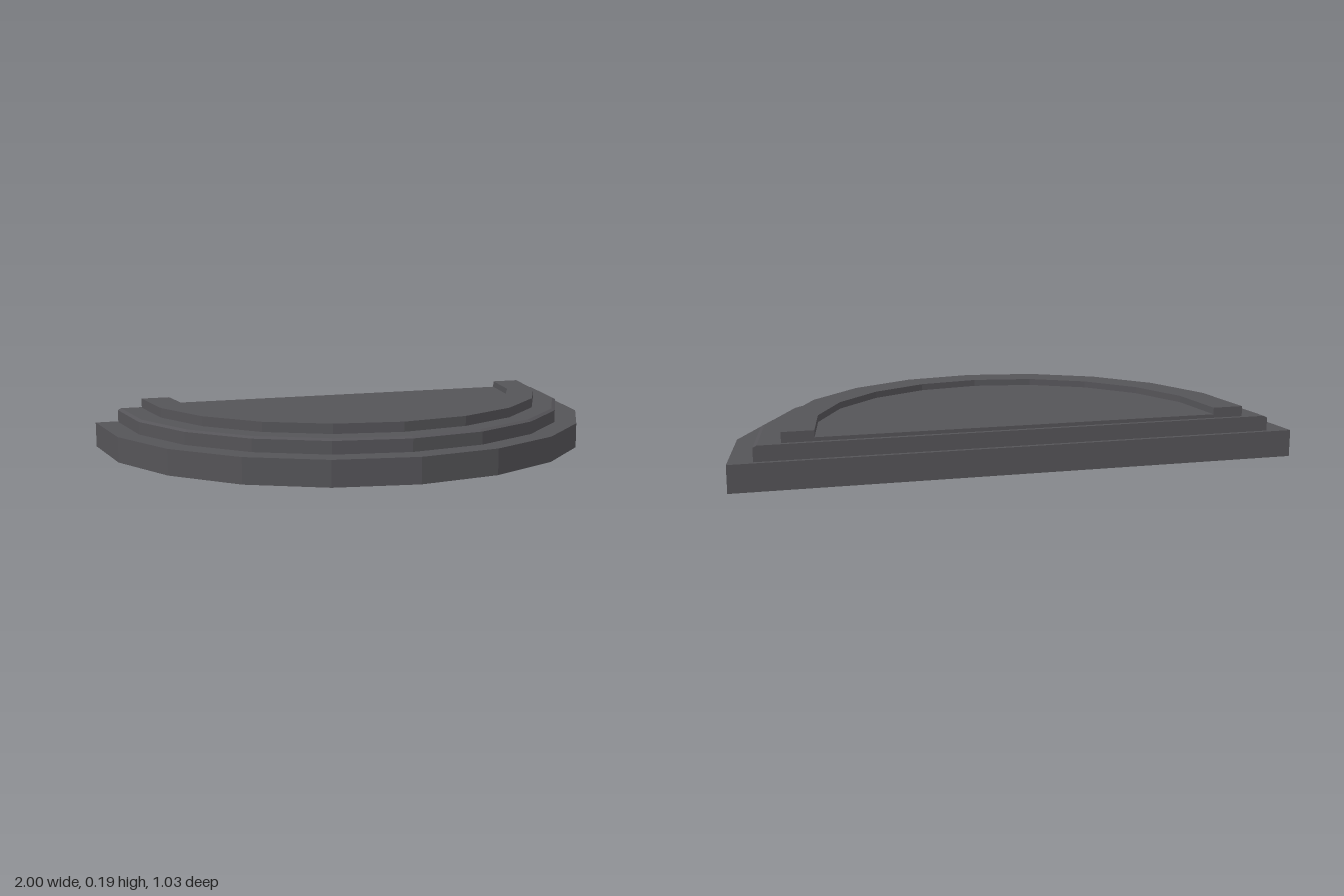
import * as THREE from 'three';

const CENTRE_Z = -0.485;
const SEGMENTS = 10;

// Half-circle outline as [x, z] points, its two end corners pushed to z = back
function outline(radius, back = CENTRE_Z) {
  const points = [];
  for (let i = 0; i <= SEGMENTS; i++) {
    const a = (i / SEGMENTS) * Math.PI;
    const end = i === 0 || i === SEGMENTS;
    points.push([radius * Math.cos(a), end ? back : CENTRE_Z + radius * Math.sin(a)]);
  }
  return points;
}

// Closed band of faces joining two outlines
function band(lower, upper) {
  const positions = [];
  const n = SEGMENTS + 1;
  const a = outline(lower.r, lower.back);
  const b = outline(upper.r, upper.back);
  for (let i = 0; i < n; i++) {
    const j = (i + 1) % n;
    const p = [a[i][0], lower.y, a[i][1]];
    const q = [a[j][0], lower.y, a[j][1]];
    const s = [b[i][0], upper.y, b[i][1]];
    const t = [b[j][0], upper.y, b[j][1]];
    positions.push(...p, ...s, ...q, ...q, ...s, ...t);
  }
  const geometry = new THREE.BufferGeometry();
  geometry.setAttribute('position', new THREE.Float32BufferAttribute(positions, 3));
  geometry.computeVertexNormals();
  return geometry;
}

// Shape drawn with y = -z, so that rotating by -90 degrees about x lays it flat
function flatShape(points) {
  return new THREE.Shape(points.map(([x, z]) => new THREE.Vector2(x, -z)));
}

// Horizontal sheet at height y
function sheet(points, y) {
  return new THREE.ShapeGeometry(flatShape(points)).rotateX(-Math.PI / 2).translate(0, y, 0);
}

// Flat plate of the given thickness standing on the upper step
function plate(points, depth) {
  const geometry = new THREE.ExtrudeGeometry(flatShape(points), { depth, bevelEnabled: false });
  return geometry.rotateX(-Math.PI / 2).translate(0, 0.152, 0);
}

export function createModel() {
  const group = new THREE.Group();
  const stone = new THREE.MeshStandardMaterial({ color: 0x555458, flatShading: true, side: THREE.DoubleSide });
  stone.name = 'dark grey stone';

  function add(name, geometry) {
    const mesh = new THREE.Mesh(geometry, stone);
    mesh.name = name;
    group.add(mesh);
  }

  // Stepped shell, open underneath
  const levels = [
    { r: 1, back: -0.515, y: 0 },
    { r: 1, back: -0.515, y: 0.097 },
    { r: 0.913, back: -0.5, y: 0.097 },
    { r: 0.913, back: -0.5, y: 0.145 },
    { r: 0.9, back: -0.5, y: 0.152 },
  ];
  const names = ['lowerStepWall', 'lowerStepTread', 'upperStepWall', 'upperStepBevel'];
  names.forEach((name, i) => add(name, band(levels[i], levels[i + 1])));

  // Top of the upper step, and its underside set inside the shell
  add('upperStepTop', sheet(outline(0.9, -0.5), 0.152));
  add('upperStepUnderside', sheet(outline(0.913, -0.5), 0.118));

  // Raised curved rim, open at the back, around a slightly raised floor
  add('raisedRim', plate([...outline(0.82), ...outline(0.71).reverse()], 0.037));
  add('floor', plate(outline(0.71), 0.013));

  return group;
}
